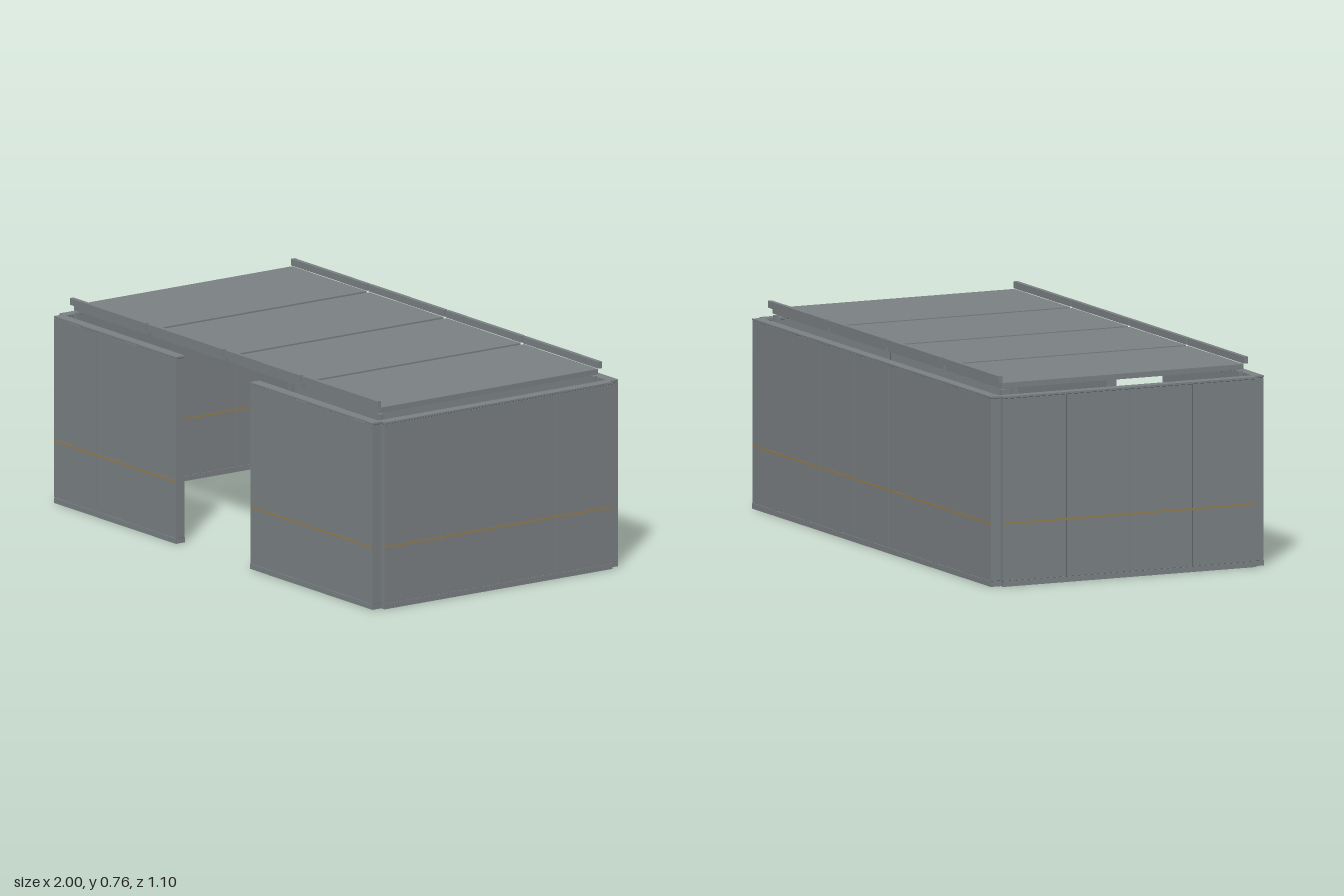
import * as THREE from 'three';

const steel = new THREE.MeshStandardMaterial({ color: 0x7c8285 });
steel.name = 'grey steel';
const tan = new THREE.MeshStandardMaterial({ color: 0x96804f });
tan.name = 'tan stripe';
const dark = new THREE.MeshStandardMaterial({ color: 0x45494b });
dark.name = 'dark steel';

// Box given by its lower and upper limits on each axis
function block(parent, name, material, [x0, x1], [y0, y1], [z0, z1]) {
  const mesh = new THREE.Mesh(new THREE.BoxGeometry(x1 - x0, y1 - y0, z1 - z0), material);
  mesh.position.set((x0 + x1) / 2, (y0 + y1) / 2, (z0 + z1) / 2);
  mesh.name = name;
  parent.add(mesh);
  return mesh;
}

// Wall running along local x, centred on z = 0, clad on both faces
function wall(name, x0, x1, seams) {
  const group = new THREE.Group();
  group.name = name;
  block(group, 'wallCore', dark, [x0 + 0.001, x1 - 0.001], [0.002, 0.689], [-0.0165, 0.0165]);
  const stops = [x0, ...seams, x1];
  for (let i = 0; i < stops.length - 1; i++) {
    const a = stops[i] + (i > 0 ? 0.001 : 0);
    const b = stops[i + 1] - (i < stops.length - 2 ? 0.001 : 0);
    block(group, 'claddingPanel', steel, [a, b], [0.021, 0.688], [-0.019, 0.019]);
  }
  block(group, 'baseRail', steel, [x0, x1], [0, 0.02], [-0.02, 0.02]);
  block(group, 'topCap', steel, [x0, x1], [0.69, 0.697], [-0.02, 0.02]);
  for (const s of [-1, 1]) {
    const z = s * 0.0192;
    block(group, 'stripe', tan, [x0 + 0.001, x1 - 0.001], [0.228, 0.235], [z - 0.0007, z + 0.0007]);
  }
  return group;
}

export function createModel() {
  const model = new THREE.Group();
  model.name = 'panelShelter';

  // Back wall and the two front walls beside the opening
  const back = wall('backWall', -0.98, 0.98, [-0.7, -0.42, -0.14, 0.14, 0.42, 0.7]);
  back.position.z = -0.53;
  const frontLeft = wall('frontLeftWall', 0.228, 0.98, [0.72]);
  const frontRight = wall('frontRightWall', -0.98, -0.228, [-0.72]);
  frontLeft.position.z = frontRight.position.z = 0.53;
  model.add(back, frontLeft, frontRight);

  for (const s of [-1, 1]) {
    // Side walls
    const side = wall(s > 0 ? 'leftWall' : 'rightWall', -0.51, 0.51, [-0.255, 0, 0.255]);
    side.rotation.y = s * Math.PI / 2;
    side.position.x = s * 0.98;
    model.add(side);

    // Inner corner posts
    for (const t of [-1, 1]) {
      const x = s * 0.93, z = t * 0.478;
      block(model, 'cornerPost', steel, [x - 0.008, x + 0.008], [0, 0.711], [z - 0.008, z + 0.008]);
    }

    // Rods under the roof
    block(model, 'roofRod', dark, [-0.915, 0.915], [0.712, 0.7165], [s * 0.413 - 0.004, s * 0.413 + 0.004]);
  }

  // Four roof panels with raised end lips
  for (let i = 0; i < 4; i++) {
    const x = (i - 1.5) * 0.475;
    const panel = new THREE.Group();
    panel.name = 'roofPanel';
    block(panel, 'roofSheet', steel, [x - 0.228, x + 0.228], [0.717, 0.737], [-0.488, 0.488]);
    for (const s of [-1, 1]) {
      block(panel, 'roofLip', steel, [x - 0.233, x + 0.233], [0.739, 0.764], [s * 0.495 - 0.008, s * 0.495 + 0.008]);
    }
    model.add(panel);
  }
  return model;
}
